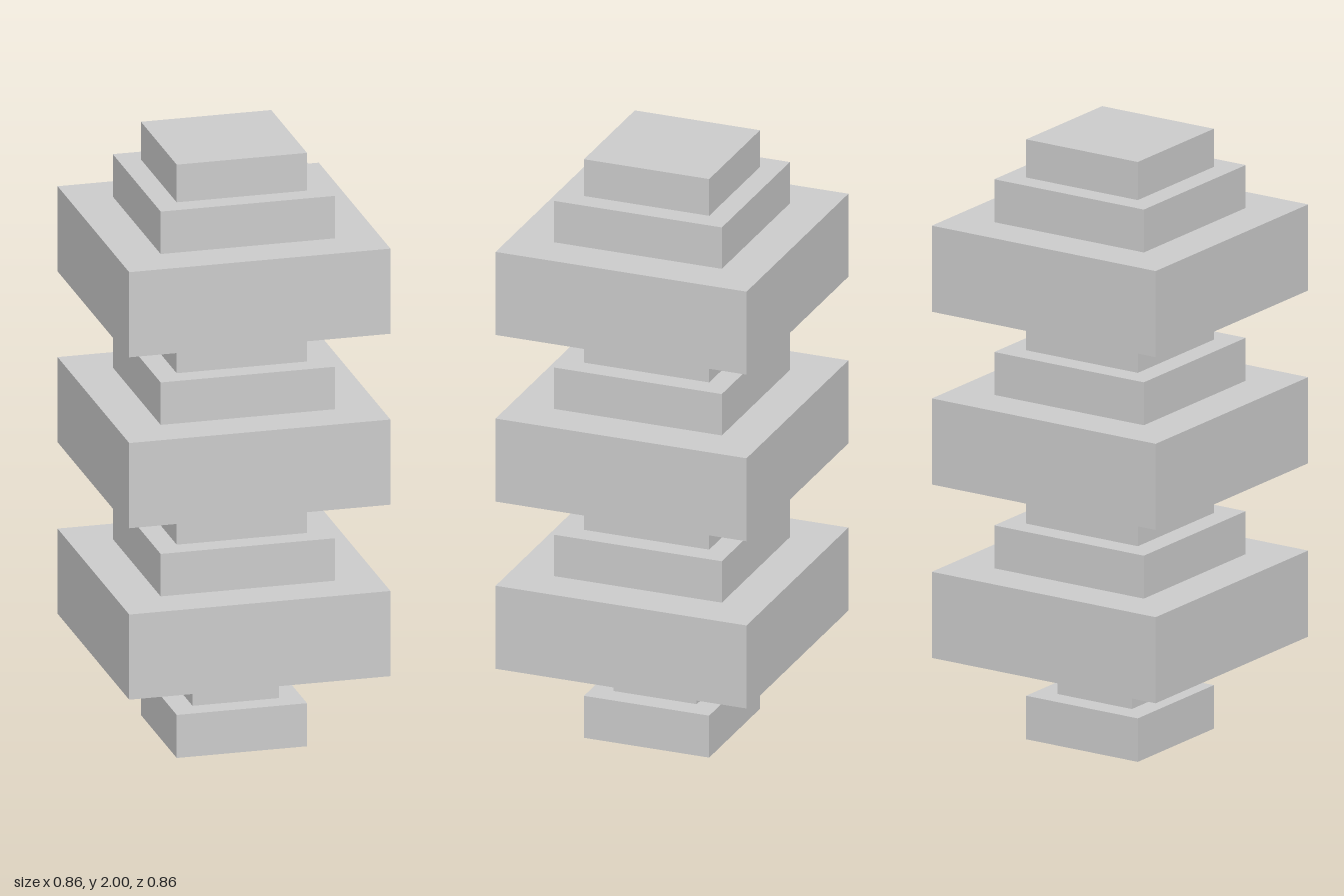
import * as THREE from 'three';

const material = new THREE.MeshStandardMaterial({ color: 0xcccccc, flatShading: true });

// Square slab of the given half width, spanning bottom to top
function slab(name, half, bottom, top) {
  const mesh = new THREE.Mesh(new THREE.BoxGeometry(half * 2, top - bottom, half * 2), material);
  mesh.name = name;
  mesh.position.y = (bottom + top) / 2;
  return mesh;
}

export function createModel() {
  const model = new THREE.Group();
  model.name = 'tieredPillar';

  // Foot and narrow neck
  model.add(slab('foot', 0.215, 0, 0.145), slab('neck', 0.143, 0.145, 0.289));

  // Three identical tiers: wide block, middle step, upper step
  [0.289, 0.867, 1.443].forEach((y, i) => {
    const tier = new THREE.Group();
    tier.name = `tier${i + 1}`;
    const top = [0.867, 1.443, 2][i];
    tier.add(
      slab('wideBlock', 0.431, y, y + 0.287),
      slab('middleStep', 0.288, y + 0.287, y + 0.43),
      slab('upperStep', 0.215, y + 0.43, top)
    );
    model.add(tier);
  });

  return model;
}
